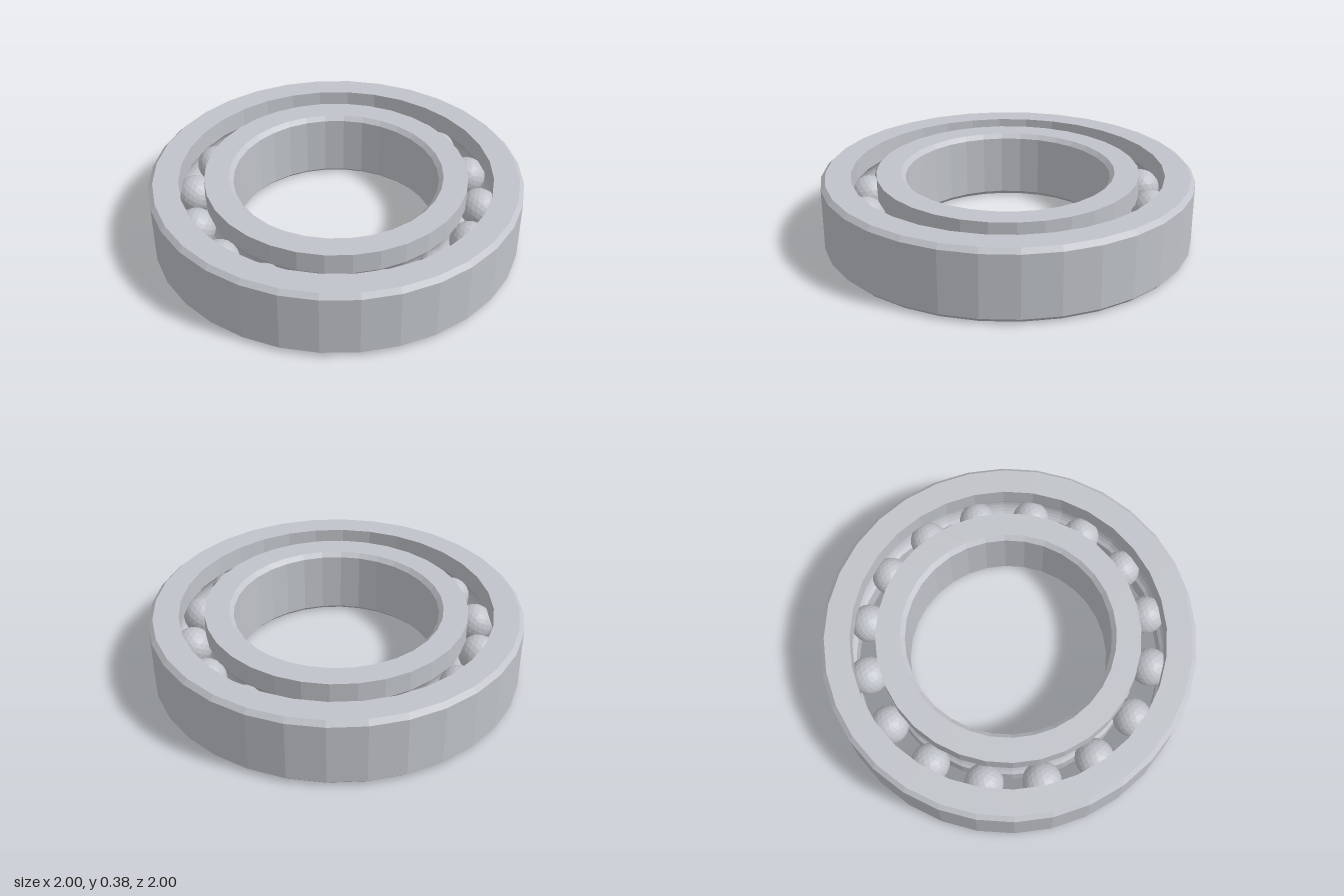
import * as THREE from 'three';

const HEIGHT = 0.382, MID = HEIGHT / 2, CHAMFER = 0.024;
const BALL_PATH = 0.775, BALL_RADIUS = 0.104, BALL_COUNT = 16, SIDES = 32;

// Flat-faced copy of a geometry
function faceted(geometry) {
  const flat = geometry.index ? geometry.toNonIndexed() : geometry;
  flat.computeVertexNormals();
  return flat;
}

// Ring with a chamfered rim on one side and a round ball groove on the other
function ringGeometry(rim, land) {
  const out = Math.sign(rim - land);
  const points = [
    [land, 0], [rim - out * CHAMFER, 0], [rim, CHAMFER],
    [rim, HEIGHT - CHAMFER], [rim - out * CHAMFER, HEIGHT], [land, HEIGHT],
  ].map(([r, y]) => new THREE.Vector2(r, y));
  const reach = Math.acos(Math.abs(land - BALL_PATH) / BALL_RADIUS);
  const steps = 8;
  for (let i = 0; i <= steps; i++) {
    const a = reach * (1 - 2 * i / steps);
    points.push(new THREE.Vector2(
      BALL_PATH + out * BALL_RADIUS * Math.cos(a), MID + BALL_RADIUS * Math.sin(a)));
  }
  points.push(points[0].clone());
  if (out < 0) points.reverse(); // keep the surface facing outward
  return faceted(new THREE.LatheGeometry(points, SIDES));
}

export function createModel() {
  const group = new THREE.Group();
  group.name = 'ballBearing';
  const steel = new THREE.MeshStandardMaterial({ color: 0xc0c3c9, flatShading: true });
  steel.name = 'steel grey';

  const add = (name, geometry, parent = group) => {
    const mesh = new THREE.Mesh(geometry, steel);
    mesh.name = name;
    parent.add(mesh);
    return mesh;
  };

  // Races
  add('outerRing', ringGeometry(1, 0.84));
  add('innerRing', ringGeometry(0.55, 0.705));

  // Balls evenly spaced between the races
  const balls = new THREE.Group();
  balls.name = 'balls';
  group.add(balls);
  const ballGeometry = faceted(new THREE.IcosahedronGeometry(BALL_RADIUS, 3));
  for (let i = 0; i < BALL_COUNT; i++) {
    const a = i / BALL_COUNT * Math.PI * 2;
    add('ball', ballGeometry, balls)
      .position.set(BALL_PATH * Math.sin(a), MID, BALL_PATH * Math.cos(a));
  }
  return group;
}
